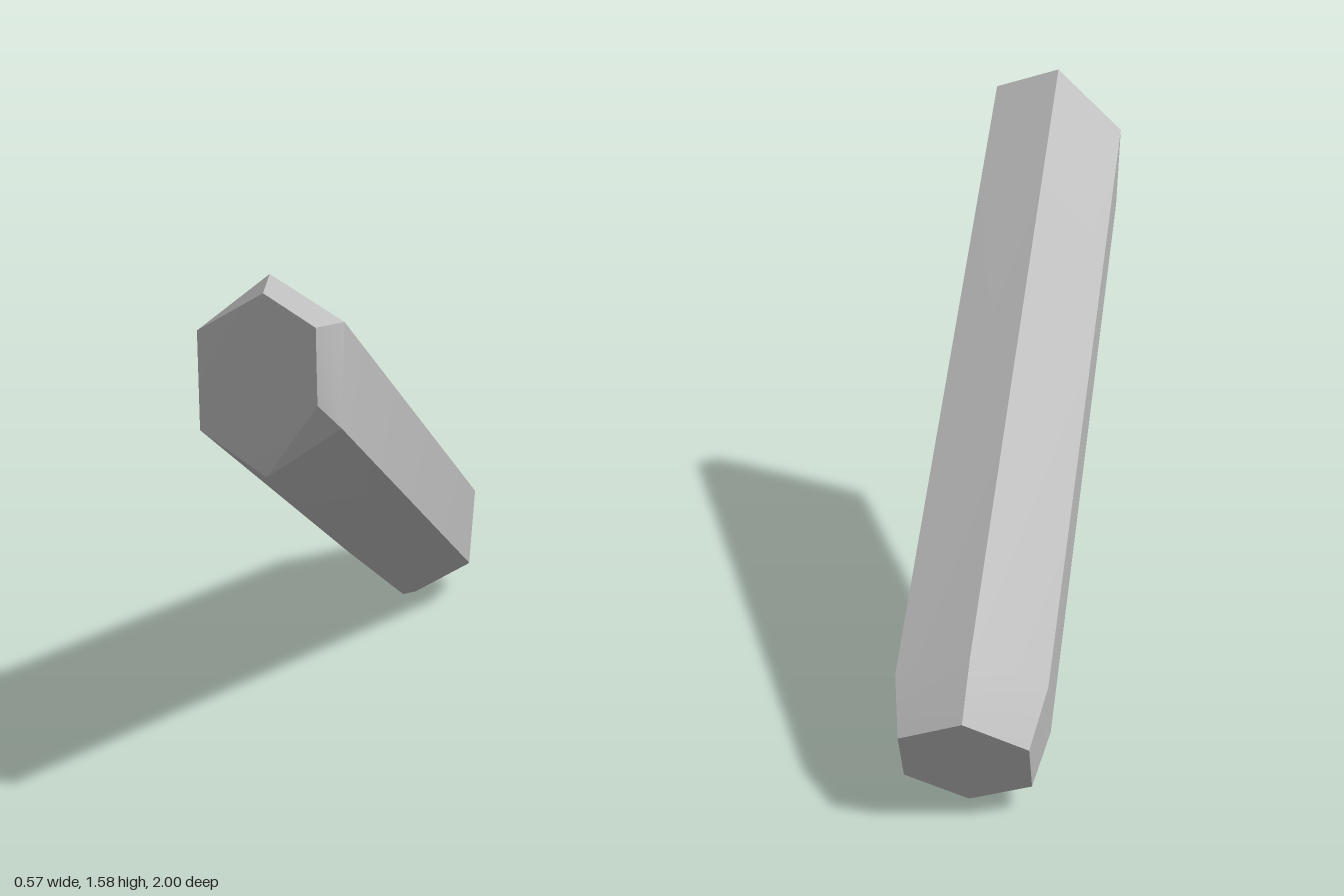
import * as THREE from 'three';
import { ConvexGeometry } from 'three/addons/geometries/ConvexGeometry.js';
import { toCreasedNormals } from 'three/addons/utils/BufferGeometryUtils.js';

export function createModel() {
  const group = new THREE.Group();
  group.name = 'crystal';
  const stone = new THREE.MeshStandardMaterial({ color: 0xc0c0c0 });
  stone.name = 'pale grey stone';

  // Six-sided shaft: the upper front ring and the lower back ring
  const frontRing = [
    [-0.29, 1.41, 0.765], [-0.28, 1.17, 0.81], [-0.10, 1.10, 0.92],
    [0.09, 1.26, 0.985], [0.09, 1.505, 0.935], [-0.10, 1.58, 0.83],
  ];
  const backRing = [
    [-0.105, 0.35, -0.84], [-0.11, 0.16, -0.72], [0.075, 0.065, -0.63],
    [0.28, 0.17, -0.665], [0.285, 0.36, -0.80], [0.09, 0.45, -0.88],
  ];
  // Chipped corners of the front face
  const frontChips = [[-0.105, 1.555, 0.90], [0.03, 1.505, 0.985], [0.035, 1.32, 1.0]];
  // Narrowed flat tip, built as three corners and their opposites
  const centre = [0.1025, 0.1625, -0.895];
  const half = [[0.10, 0.0, -0.79], [0.265, 0.09, -0.83], [0.27, 0.25, -0.935]];
  const tip = half.concat(half.map((p) => p.map((v, i) => 2 * centre[i] - v)));

  const points = [...frontRing, ...backRing, ...frontChips, ...tip]
    .map((p) => new THREE.Vector3(...p));
  const mesh = new THREE.Mesh(toCreasedNormals(new ConvexGeometry(points), 0.4), stone);
  mesh.name = 'crystalShaft';
  group.add(mesh);
  return group;
}
